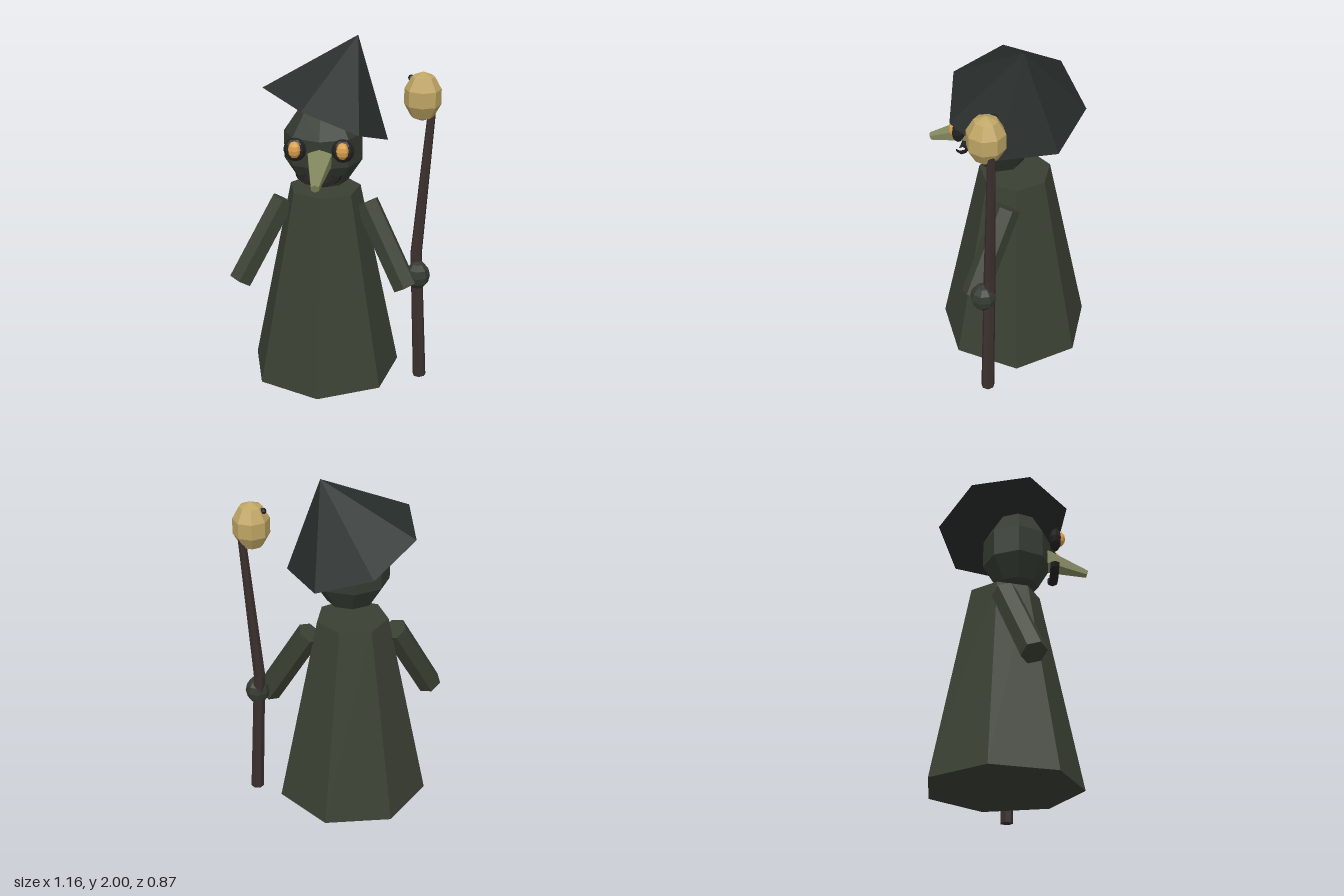
import * as THREE from 'three';

const CX = -0.055; // the body's own centre line
const mat = (color) => new THREE.MeshStandardMaterial({ color, flatShading: true });
const M = {
  robe: mat(0x3a4033), hat: mat(0x282e2c), skin: mat(0x343b32), beak: mat(0x83885f),
  dark: mat(0x242121), amber: mat(0xdca04c), wood: mat(0x3b302e), tan: mat(0xbfa565),
};
const UP = new THREE.Vector3(0, 1, 0);
const V = (x, y, z) => new THREE.Vector3(x, y, z);

export function createModel() {
  const group = new THREE.Group();

  const add = (name, geometry, material, pos) => {
    const mesh = new THREE.Mesh(geometry, material);
    mesh.name = name;
    mesh.position.copy(pos);
    group.add(mesh);
    return mesh;
  };
  // Faceted ellipsoid
  const blob = (name, material, pos, r, w = 8, h = 5) => {
    const mesh = add(name, new THREE.SphereGeometry(1, w, h), material, pos);
    mesh.scale.set(...r);
    return mesh;
  };
  // Faceted rod from a (radius ra) to b (radius rb)
  const rod = (name, material, a, b, ra, rb, sides, start = 0) => {
    const dir = b.clone().sub(a);
    const geo = new THREE.CylinderGeometry(rb, ra, dir.length(), sides, 1, false, start);
    const mesh = add(name, geo, material, a.clone().lerp(b, 0.5));
    mesh.quaternion.setFromUnitVectors(UP, dir.normalize());
    return mesh;
  };

  // Robe and tilted pointed hat, both seven-sided
  rod('robe', M.robe, V(CX, 0.03, -0.045), V(CX, 1.15, -0.045), 0.434, 0.203, 7);
  rod('hat', M.hat, V(CX, 1.59, -0.046), V(0.12, 2, -0.12), 0.382, 0, 7, THREE.MathUtils.degToRad(87));

  // Head
  blob('head', M.skin, V(CX, 1.42, 0.03), [0.226, 0.25, 0.203]);
  rod('beak', M.beak, V(CX, 1.39, 0.19), V(CX, 1.312, 0.43), 0.075, 0.024, 6);
  const mouth = add('mouth', new THREE.TorusGeometry(0.1, 0.028, 6, 8, Math.PI), M.dark, V(CX, 1.325, 0.238));
  mouth.rotation.z = Math.PI;
  mouth.scale.y = 0.55;

  // Eyes, sleeves: one on each side
  for (const s of [-1, 1]) {
    const side = s > 0 ? 'left' : 'right';
    blob(side + 'EyeSocket', M.dark, V(CX + s * 0.128, 1.46, 0.24), [0.062, 0.066, 0.037], 8, 6);
    blob(side + 'Eye', M.amber, V(CX + s * 0.128, 1.465, 0.262), [0.036, 0.047, 0.034], 8, 6);
    rod(side + 'Sleeve', M.robe, V(CX + s * 0.47, 0.61, 0.09), V(CX + s * 0.235, 1.06, -0.05), 0.073, 0.073, 6);
  }

  // Hand gripping a bent staff
  blob('hand', M.skin, V(0.48, 0.66, 0.025), [0.07, 0.082, 0.073], 8, 6);
  const bend = V(0.468, 0.78, -0.008);
  rod('staffLower', M.wood, V(0.505, 0.005, 0), bend, 0.038, 0.033, 7);
  rod('staffUpper', M.wood, bend, V(0.533, 1.64, -0.038), 0.033, 0.022, 7);

  // Gourd at the top of the staff with a small dark stud
  blob('staffGourd', M.tan, V(0.48, 1.702, 0), [0.105, 0.137, 0.108]);
  blob('gourdStud', M.dark, V(0.415, 1.795, -0.03), [0.018, 0.018, 0.018], 6, 4);

  return group;
}
